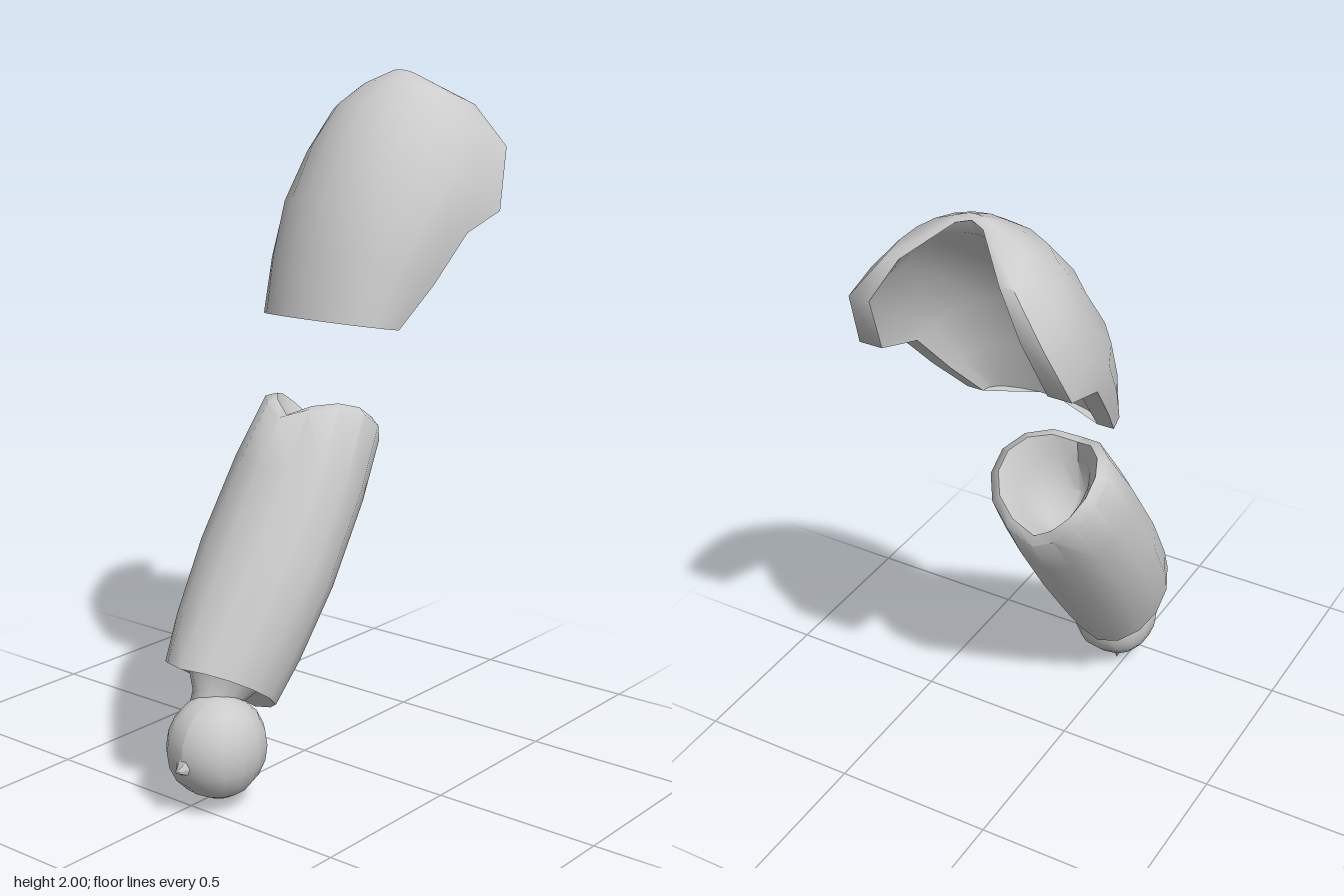
import * as THREE from 'three';
import { toCreasedNormals } from 'three/addons/utils/BufferGeometryUtils.js';

const material = new THREE.MeshStandardMaterial({ color: 0xcccccc, side: THREE.DoubleSide });

// Skins a list of closed rings of [x, y, z] points, counter-clockwise about the travel direction.
function loft(rings) {
  const n = rings[0].length, index = [];
  for (let i = 0; i < rings.length - 1; i++) {
    for (let j = 0; j < n; j++) {
      const k = (j + 1) % n;
      const a = i * n + j, b = i * n + k, c = a + n, d = b + n;
      index.push(a, b, c, b, d, c);
    }
  }
  const g = new THREE.BufferGeometry();
  g.setAttribute('position', new THREE.Float32BufferAttribute(rings.flat(2), 3));
  g.setIndex(index);
  return toCreasedNormals(g, 0.95);
}

function add(parent, name, geometry) {
  const mesh = new THREE.Mesh(geometry, material);
  mesh.name = name;
  parent.add(mesh);
  return mesh;
}

const mix = (a, b, t) => a + (b - a) * t;

// Curved shell: each station has spine x, y, rim x, y, half width and hollow depth.
function shoulderGeometry() {
  const stations = [
    [-0.02, 1.32, 0.14, 1.29, 0.23, 0.35],
    [0.03, 1.5, 0.25, 1.41, 0.27, 0.6],
    [0.09, 1.65, 0.37, 1.55, 0.3, 0.75],
    [0.19, 1.82, 0.52, 1.6, 0.31, 0.8],
    [0.29, 1.92, 0.6, 1.78, 0.275, 0.75],
    [0.37, 1.97, 0.57, 1.9, 0.18, 0.65],
    [0.44, 2.0, 0.47, 1.98, 0.05, 0.5],
  ];
  const steps = 12;
  const rings = stations.map(([sx, sy, ex, ey, w, hollow]) => {
    const ring = [];
    const arc = (b, depth, width) => {
      const t = Math.pow(Math.max(Math.sin(b), 0), 0.9) * depth;
      ring.push([mix(ex, sx, t), mix(ey, sy, t), -width * Math.cos(b)]);
    };
    for (let i = 0; i <= steps; i++) arc(Math.PI * i / steps, 1, w);
    for (let i = steps; i >= 0; i--) arc(Math.PI * i / steps, hollow, w * 0.78);
    return ring;
  });
  const cap = (ring) => {
    const c = [0, 1, 2].map((k) => ring.reduce((s, p) => s + p[k], 0) / ring.length);
    return ring.map(() => c);
  };
  return loft([cap(rings[0]), ...rings, cap(rings[rings.length - 1])]);
}

// Sleeve along local y: wrist, recessed lower end, body, two-lobed rim and hollow cup.
function forearmGeometry() {
  const sections = [ // y, x radius, z radius, lobe height
    [-0.1, 0.06, 0.055, 0],
    [-0.03, 0.07, 0.065, 0],
    [0.03, 0.11, 0.1, 0],
    [0, 0.186, 0.155, 0.02],
    [0.14, 0.188, 0.185, 0.02],
    [0.36, 0.19, 0.207, 0.03],
    [0.6, 0.188, 0.2, 0.06],
    [0.76, 0.182, 0.175, 0.1],
    [0.78, 0.155, 0.145, 0.1],
    [0.72, 0.12, 0.1, 0.08],
    [0.62, 0.07, 0.06, 0.01],
    [0.6, 0, 0, 0],
  ];
  const n = 14;
  return loft(sections.map(([y, rx, rz, lobe]) => Array.from({ length: n }, (_, j) => {
    const a = j / n * Math.PI * 2;
    return [rx * Math.cos(a), y + lobe * Math.abs(Math.sin(a)), -rz * Math.sin(a)];
  })));
}

// Rounded ball, slightly flattened at its front and back.
function fistGeometry() {
  const g = new THREE.SphereGeometry(0.145, 14, 10);
  const p = g.attributes.position;
  for (let i = 0; i < p.count; i++) {
    const z = p.getZ(i) / 0.145;
    p.setZ(i, Math.sign(z) * Math.pow(Math.abs(z), 0.8) * 0.132);
  }
  g.computeVertexNormals();
  return g;
}

export function createModel() {
  const model = new THREE.Group();
  model.name = 'armoredArm';

  add(model, 'shoulderPad', shoulderGeometry());

  const forearm = add(model, 'forearm', forearmGeometry());
  forearm.position.set(-0.38, 0.315, 0);
  forearm.rotation.z = -0.583;

  const hand = new THREE.Group();
  hand.name = 'hand';
  hand.position.set(-0.44, 0.175, 0.045);
  model.add(hand);
  add(hand, 'fist', fistGeometry());

  // Small pointed folds around the fist: position, tilt about z, radius, length, thickness
  const folds = [
    ['outerKnuckle', -0.11, -0.015, 0, 1.75, 0.1, 0.12, 0.9],
    ['lowerKnuckle', 0.02, -0.125, -0.02, 3.4, 0.05, 0.1, 1],
    ['thumb', 0.13, 0.01, -0.03, -1.25, 0.045, 0.16, 0.8],
  ];
  for (const [name, x, y, z, tilt, radius, length, thick] of folds) {
    const fold = add(hand, name, new THREE.ConeGeometry(radius, length, 7));
    fold.position.set(x, y, z);
    fold.rotation.z = tilt;
    fold.scale.z = thick;
  }
  return model;
}
